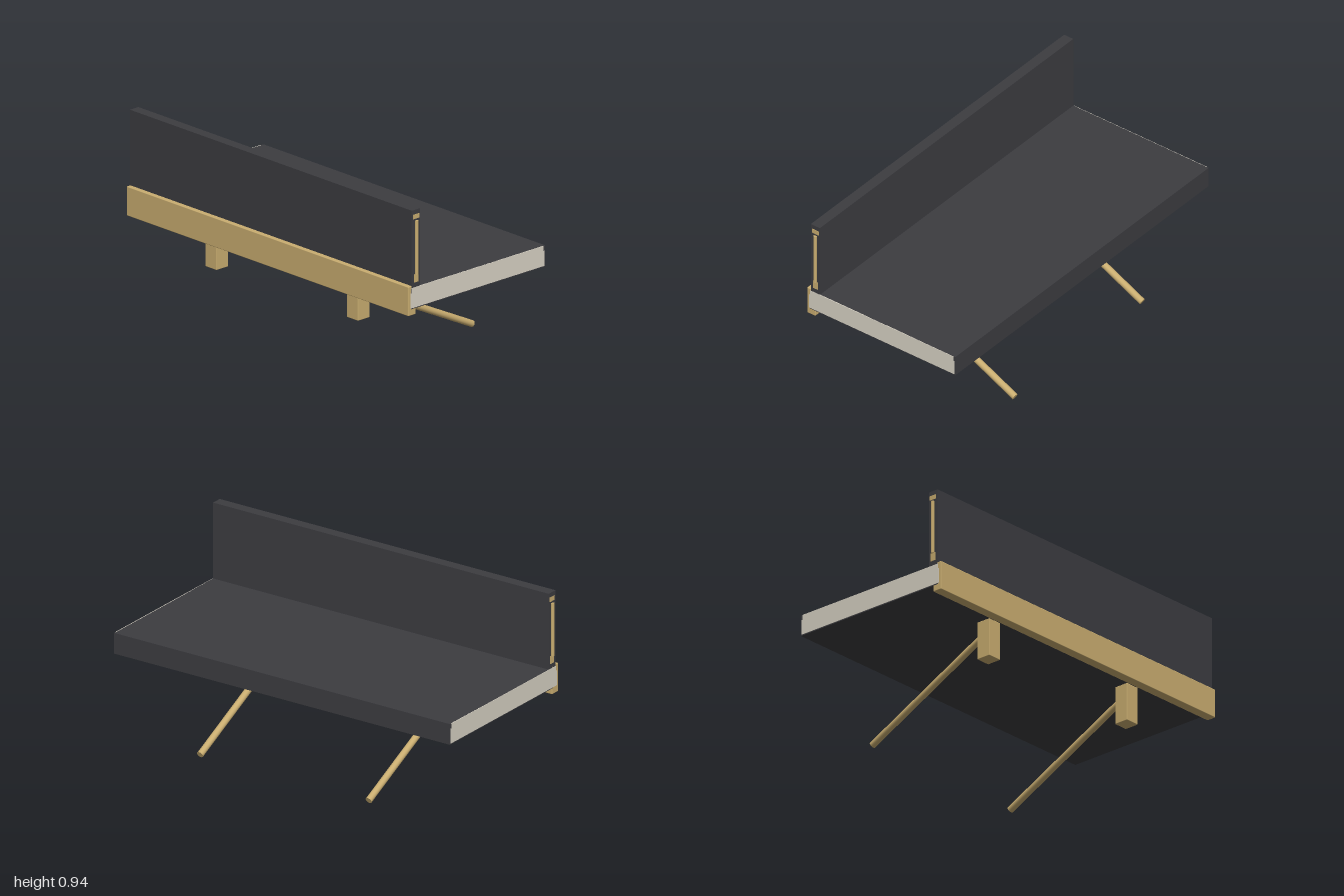
import * as THREE from 'three';
import { RoundedBoxGeometry } from 'three/addons/geometries/RoundedBoxGeometry.js';

const material = (color) => new THREE.MeshStandardMaterial({ color });

export function createModel() {
  const group = new THREE.Group();
  const dark = material(0x3c3c40);
  const wood = material(0xc9ad70);
  const light = material(0xd8d2c4);

  const add = (name, geometry, mat) => {
    const mesh = new THREE.Mesh(geometry, mat);
    mesh.name = name;
    group.add(mesh);
    return mesh;
  };

  // Box given by its [min, max] range on each axis, with optionally eased edges
  const box = (name, [x0, x1], [y0, y1], [z0, z1], mat, radius = 0) => {
    const size = [x1 - x0, y1 - y0, z1 - z0];
    const geometry = radius ? new RoundedBoxGeometry(...size, 2, radius) : new THREE.BoxGeometry(...size);
    add(name, geometry, mat).position.set((x0 + x1) / 2, (y0 + y1) / 2, (z0 + z1) / 2);
  };

  // Round bar between two points
  const rod = (name, from, to, radius, mat) => {
    const a = new THREE.Vector3(...from);
    const b = new THREE.Vector3(...to);
    const dir = b.clone().sub(a);
    const mesh = add(name, new THREE.CylinderGeometry(radius, radius, dir.length(), 20), mat);
    mesh.position.copy(a).add(b).multiplyScalar(0.5);
    mesh.quaternion.setFromUnitVectors(new THREE.Vector3(0, 1, 0), dir.normalize());
  };

  // Main slab, upright panel and wooden front rail
  const span = [-0.988, 0.988];
  box('slab', span, [0.432, 0.54], [-0.453, 0.436], dark);
  box('uprightPanel', span, [0.54, 0.936], [0.376, 0.432], dark);
  box('frontRail', span, [0.4, 0.55], [0.404, 0.455], wood, 0.004);

  for (const side of [-1, 1]) {
    // Light end faces of the slab, in two layers
    const end = [side * 0.988 - 0.002, side * 0.988 + 0.002];
    box('slabEndLower', end, [0.437, 0.514], [-0.447, 0.441], light);
    box('slabEndUpper', end, [0.514, 0.54], [-0.441, 0.435], light);

    // Slim bar and its two holders on the panel end
    const holder = [side * 0.985 - 0.005, side * 0.985 + 0.005];
    box('barHolderTop', holder, [0.89, 0.913], [0.383, 0.423], wood);
    box('barHolderBottom', holder, [0.565, 0.606], [0.388, 0.418], wood);
    rod('endBar', [side * 0.991, 0.605, 0.403], [side * 0.991, 0.88, 0.403], 0.009, wood);

    // Support block with a slanting strut
    const x = side * 0.496;
    box('supportBlock', [x - 0.039, x + 0.039], [0.235, 0.432], [0.282, 0.36], wood, 0.003);
    rod('strut', [x, 0.375, 0.295], [x, 0.0155, -0.433], 0.017, wood);
  }

  return group;
}
